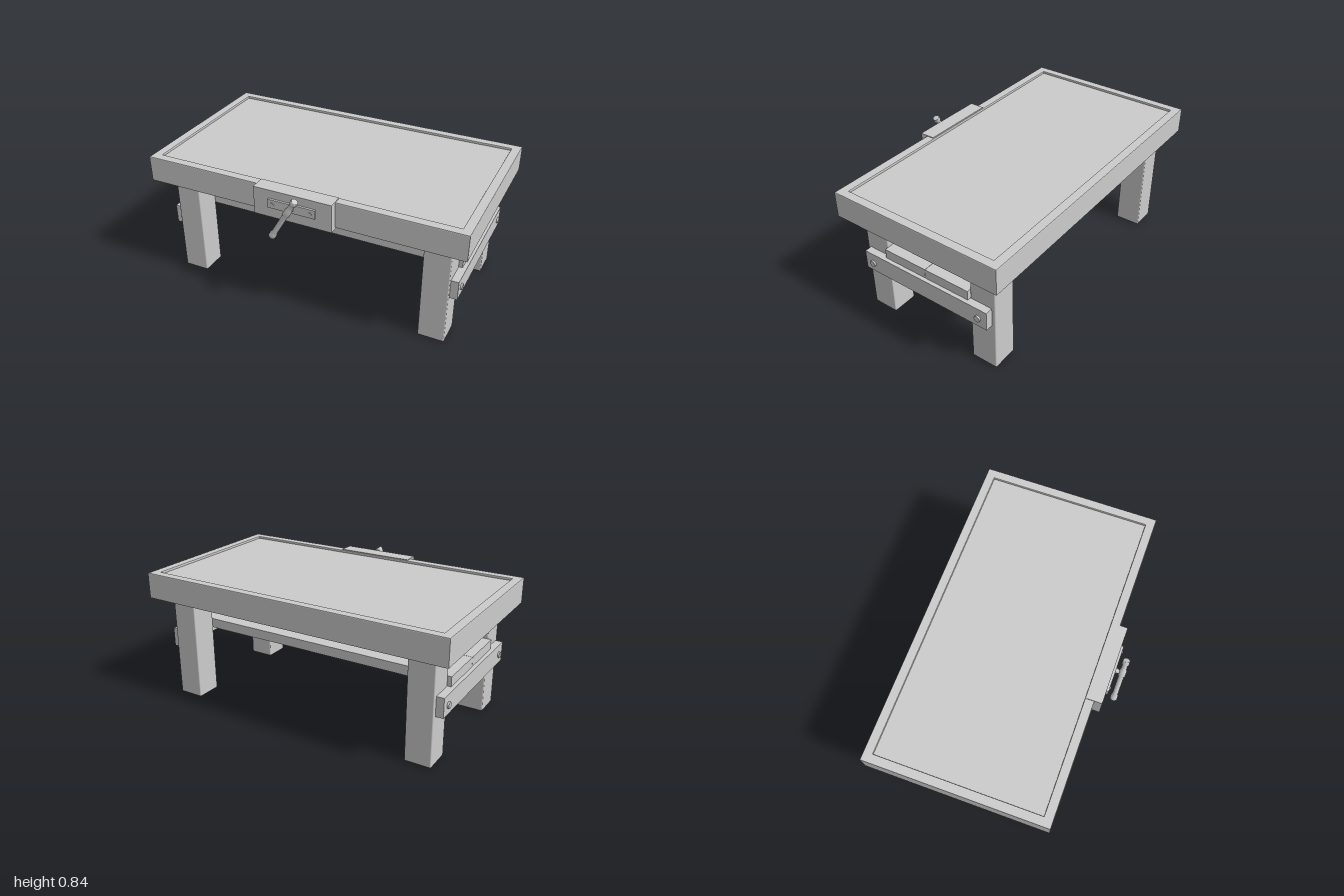
import * as THREE from 'three';
import { RoundedBoxGeometry } from 'three/addons/geometries/RoundedBoxGeometry.js';

const material = new THREE.MeshStandardMaterial({ color: 0xcccccc });

function add(parent, name, geometry) {
  const mesh = new THREE.Mesh(geometry, material);
  mesh.name = name;
  parent.add(mesh);
  return mesh;
}

// Box given by its [min, max] on each axis, with optional rounded edges
function block(parent, name, x, y, z, radius = 0) {
  const size = [x, y, z].map(([a, b]) => b - a);
  const geometry = radius
    ? new RoundedBoxGeometry(...size, 2, radius)
    : new THREE.BoxGeometry(...size);
  const mesh = add(parent, name, geometry);
  mesh.position.set(...[x, y, z].map(([a, b]) => (a + b) / 2));
  return mesh;
}

// Rectangle outline, corner to corner
function rectangle(Type, x, y0, y1) {
  return new Type([[-x, y0], [x, y0], [x, y1], [-x, y1]].map(p => new THREE.Vector2(...p)));
}

function createTop() {
  const top = new THREE.Group();
  top.name = 'tableTop';
  const bevel = 0.005, bottom = 0.658, height = 0.164;

  // Raised border: an extruded frame around the recessed panel
  const outline = rectangle(THREE.Shape, 1 - bevel, -0.495 + bevel, 0.614 - bevel);
  outline.holes.push(rectangle(THREE.Path, 0.95, -0.445, 0.564));
  const frame = new THREE.ExtrudeGeometry(outline, {
    depth: height - 2 * bevel, bevelThickness: bevel, bevelSize: bevel, bevelSegments: 2,
  });
  frame.rotateX(-Math.PI / 2);
  add(top, 'topBorder', frame).position.y = bottom + bevel;

  block(top, 'topPanel', [-0.955, 0.955], [bottom, bottom + height - 0.015], [-0.569, 0.45]);
  return top;
}

function createVise() {
  const vise = new THREE.Group();
  vise.name = 'vise';
  block(vise, 'rearJaw', [-0.245, 0.245], [0.652, 0.827], [0.446, 0.508]);
  block(vise, 'frontJaw', [-0.245, 0.245], [0.652, 0.827], [0.508, 0.541]);
  block(vise, 'mountingPlate', [-0.148, 0.148], [0.72, 0.775], [0.541, 0.554]);

  // Round part pointing forward, between two depths
  const pin = (name, x, radius, z0, z1) => {
    const geometry = new THREE.CylinderGeometry(radius, radius, z1 - z0, 24);
    geometry.rotateX(Math.PI / 2);
    add(vise, name, geometry).position.set(x, 0.746, (z0 + z1) / 2);
  };
  for (const x of [-0.118, 0.118]) pin('plateScrew', x, 0.011, 0.55, 0.559);
  pin('spindleCollar', 0, 0.017, 0.55, 0.563);
  pin('spindle', 0, 0.013, 0.55, 0.594);

  // Tilted handle: knobs at both ends and a hub where it meets the spindle
  const profile = [
    [0, -0.216], [0.018, -0.216], [0.0215, -0.211], [0.0215, -0.184], [0.0165, -0.174],
    [0.0165, -0.028], [0.0215, -0.02], [0.0215, 0.02], [0.0165, 0.028],
    [0.0165, 0.062], [0.0215, 0.07], [0.0215, 0.096], [0.018, 0.1], [0, 0.1],
  ].map(p => new THREE.Vector2(...p));
  const handle = add(vise, 'viseHandle', new THREE.LatheGeometry(profile, 24));
  handle.position.set(0, 0.746, 0.594);
  handle.rotation.z = -Math.PI / 6;
  return vise;
}

export function createModel() {
  const bench = new THREE.Group();
  bench.name = 'workbench';
  bench.add(createTop(), createVise());

  // Lower shelf of two boards
  block(bench, 'frontShelfBoard', [-0.917, 0.917], [0.43, 0.49], [-0.058, 0.238]);
  block(bench, 'backShelfBoard', [-0.917, 0.917], [0.43, 0.49], [-0.356, -0.06]);

  // Legs, side rails and bolts, mirrored left and right
  for (const side of [-1, 1]) {
    const span = (a, b) => [side * a, side * b].sort((p, q) => p - q);
    for (const [z0, z1] of [[0.238, 0.403], [-0.521, -0.356]])
      block(bench, 'leg', span(0.733, 0.895), [0, 0.66], [z0, z1], 0.007);
    block(bench, 'sideRail', span(0.895, 0.941), [0.31, 0.43], [-0.498, 0.38]);
    for (const z of [0.322, -0.44]) {
      const bolt = new THREE.CylinderGeometry(0.019, 0.019, 0.03, 24);
      bolt.rotateZ(Math.PI / 2);
      add(bench, 'railBolt', bolt).position.set(side * 0.937, 0.366, z);
    }
  }
  return bench;
}
